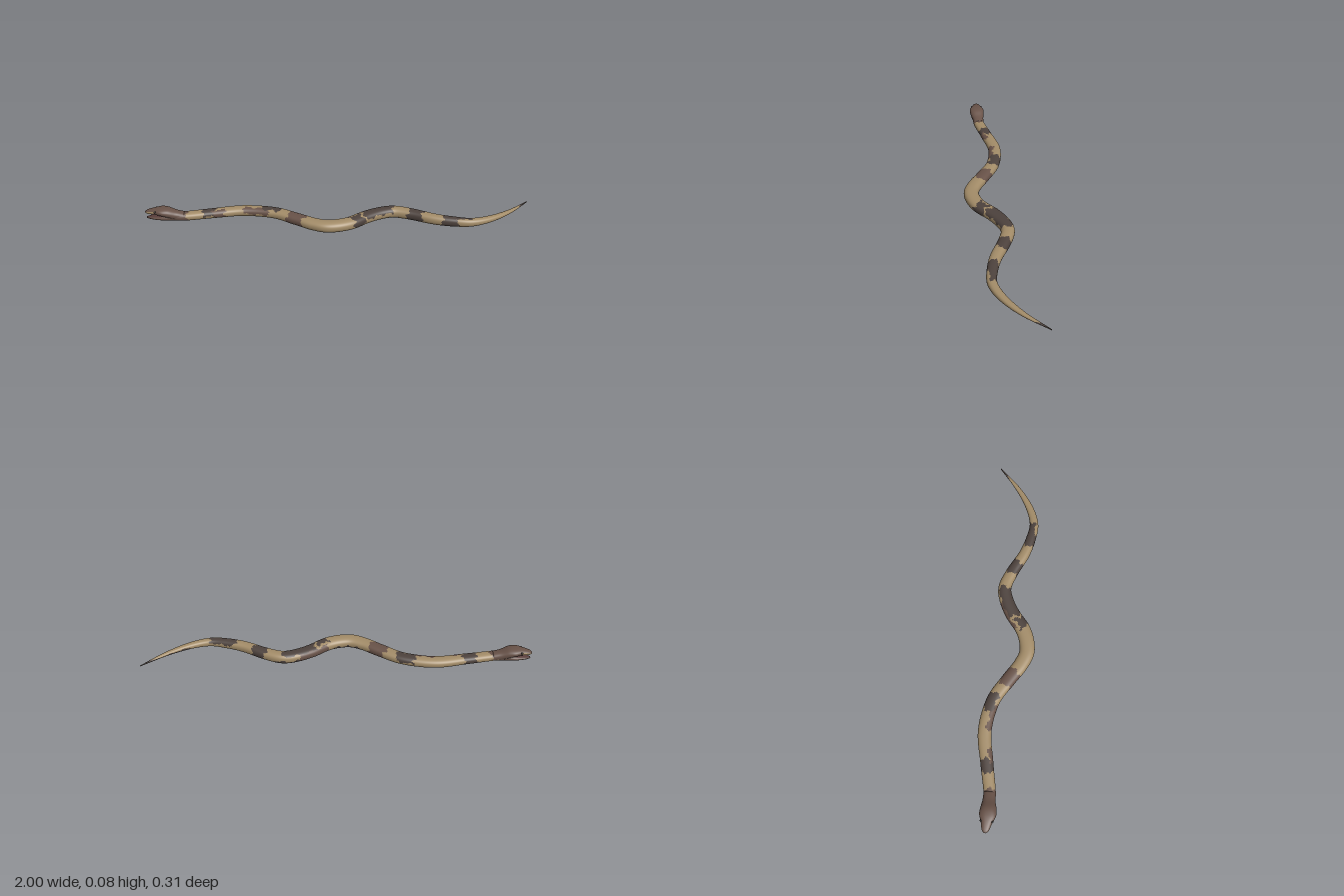
import * as THREE from 'three';

const mat = (name, color) => {
  const m = new THREE.MeshStandardMaterial({ color });
  m.name = name;
  return m;
};

// Smooth loft through sections [x, y, z, halfWidth, halfHeight];
// pick(x, angle) gives the material index of each face (angle 0 = front, 90 = top).
function loft(name, sections, rings, sides, materials, pick = () => 0) {
  const centres = new THREE.CatmullRomCurve3(
    sections.map(s => new THREE.Vector3(s[0], s[1], s[2])), false, 'catmullrom', 0.5);
  const sizes = new THREE.CatmullRomCurve3(
    sections.map(s => new THREE.Vector3(s[3], s[4], 0)), false, 'catmullrom', 0.5);
  const up = new THREE.Vector3(0, 1, 0);
  const pos = [], buckets = materials.map(() => []), xs = [];
  for (let i = 0; i <= rings; i++) {
    const t = i / rings, c = centres.getPoint(t), s = sizes.getPoint(t);
    const side = centres.getTangent(t).cross(up).normalize();
    xs.push(c.x);
    for (let j = 0; j < sides; j++) {
      const a = j / sides * Math.PI * 2, ca = Math.cos(a), sa = Math.sin(a);
      // Slightly squared oval
      const w = Math.sign(ca) * Math.abs(ca) ** 0.85 * s.x;
      const h = Math.sign(sa) * Math.abs(sa) ** 0.85 * s.y;
      pos.push(c.x + side.x * w, c.y + h, c.z + side.z * w);
    }
  }
  for (let i = 0; i < rings; i++) {
    for (let j = 0; j < sides; j++) {
      const k = (j + 1) % sides;
      const a = i * sides + j, b = a + sides, c = i * sides + k, d = c + sides;
      const m = pick((xs[i] + xs[i + 1]) / 2, (j + 0.5) / sides * 360);
      buckets[m].push(a, b, c, b, d, c);
    }
  }
  // End caps
  const last = rings * sides;
  const m0 = pick(xs[0], 90), m1 = pick(xs[rings], 90);
  for (let j = 1; j < sides - 1; j++) {
    buckets[m0].push(0, j, j + 1);
    buckets[m1].push(last, last + j + 1, last + j);
  }
  const geo = new THREE.BufferGeometry();
  geo.setAttribute('position', new THREE.Float32BufferAttribute(pos, 3));
  geo.setIndex(buckets.flat());
  let start = 0;
  buckets.forEach((b, i) => { geo.addGroup(start, b.length, i); start += b.length; });
  geo.computeVertexNormals();
  const mesh = new THREE.Mesh(geo, materials);
  mesh.name = name;
  return mesh;
}

export function createModel() {
  const group = new THREE.Group();
  group.name = 'snake';
  const tan = mat('tan scales', 0xa38c68);
  const brown = mat('brown scales', 0x685248);
  const dark = mat('dark scales', 0x4d423d);
  const mouth = mat('mouth lining', 0x5a3f3c);
  const black = mat('eye black', 0x17130f);

  // Body along its winding path
  const body = [
    [-0.86, 0.038, 0.022, 0.03, 0.022], [-0.8, 0.034, 0.02, 0.03, 0.021],
    [-0.66, 0.033, -0.012, 0.032, 0.022], [-0.5, 0.032, -0.044, 0.034, 0.024],
    [-0.34, 0.032, -0.022, 0.035, 0.025], [-0.22, 0.031, 0.042, 0.037, 0.026],
    [-0.13, 0.031, 0.095, 0.038, 0.027], [-0.05, 0.031, 0.117, 0.039, 0.028],
    [0.05, 0.031, 0.088, 0.039, 0.028], [0.14, 0.031, 0.018, 0.038, 0.028],
    [0.22, 0.031, -0.026, 0.036, 0.028], [0.29, 0.031, -0.04, 0.034, 0.028],
    [0.38, 0.031, -0.012, 0.032, 0.027], [0.49, 0.031, 0.038, 0.029, 0.026],
    [0.59, 0.031, 0.064, 0.026, 0.024], [0.68, 0.031, 0.07, 0.023, 0.02],
    [0.78, 0.031, 0.032, 0.019, 0.015], [0.89, 0.031, -0.045, 0.012, 0.009],
    [1.0, 0.033, -0.152, 0.002, 0.002],
  ];
  // Blotches: x range, centre angle, half angle, material index
  const blotches = [
    [-0.9, -0.83, 90, 180, 1], [-0.85, -0.79, 60, 130, 1],
    [-0.71, -0.645, 110, 115, 2], [-0.66, -0.6, 20, 50, 1], [-0.76, -0.68, 250, 60, 2],
    [-0.5, -0.36, 35, 42, 1], [-0.4, -0.31, 120, 60, 2],
    [-0.255, -0.175, 80, 130, 1], [-0.16, 0.03, 255, 62, 2],
    [0.06, 0.11, 45, 65, 2], [0.12, 0.28, 75, 62, 2], [0.07, 0.2, 180, 45, 1],
    [0.2, 0.31, 260, 70, 2],
    [0.365, 0.435, 90, 150, 2], [0.535, 0.61, 60, 110, 2], [0.6, 0.68, 120, 50, 2],
    [0.48, 0.78, 265, 48, 1], [0.78, 0.96, 240, 65, 2], [0.95, 1.1, 90, 180, 2],
  ];
  const bodyColour = (x, a) => {
    const r = a * Math.PI / 180;
    const wx = x + 0.007 * Math.sin(3 * r + 40 * x) + 0.004 * Math.sin(7 * r);
    const wa = a + 9 * Math.sin(95 * x) + 5 * Math.sin(210 * x);
    let m = 0;
    for (const [x0, x1, centre, half, index] of blotches) {
      const d = Math.abs(((wa - centre + 540) % 360) - 180);
      if (wx > x0 && wx < x1 && d <= half) m = index;
    }
    return m;
  };
  group.add(loft('body', body, 420, 40, [tan, brown, dark], bodyColour));

  // Head with a pale snout lip
  const head = [
    [-1.0, 0.061, 0.024, 0.006, 0.003], [-0.985, 0.062, 0.024, 0.018, 0.01],
    [-0.95, 0.066, 0.025, 0.028, 0.015], [-0.915, 0.066, 0.026, 0.041, 0.019],
    [-0.88, 0.058, 0.025, 0.039, 0.024], [-0.84, 0.043, 0.022, 0.031, 0.023],
    [-0.8, 0.035, 0.02, 0.029, 0.02],
  ];
  group.add(loft('upperHead', head, 40, 32, [brown, tan, mouth], (x, a) => {
    if (x < -0.915 && a > 215 && a < 325) return 2;
    return x < -0.95 && (a > 320 || a < 20 || (a > 160 && a < 220)) ? 1 : 0;
  }));

  // Lower jaw, dropped open
  const jaw = [
    [-0.995, 0.029, 0.024, 0.006, 0.003], [-0.97, 0.03, 0.024, 0.019, 0.007],
    [-0.93, 0.033, 0.025, 0.032, 0.011], [-0.89, 0.036, 0.025, 0.035, 0.017],
    [-0.85, 0.036, 0.022, 0.029, 0.02],
  ];
  group.add(loft('lowerJaw', jaw, 30, 28, [brown, mouth],
    (x, a) => (x < -0.91 && a > 40 && a < 140 ? 1 : 0)));

  // Eyes
  for (const s of [-1, 1]) {
    const eye = new THREE.Mesh(new THREE.SphereGeometry(0.006, 14, 10), black);
    eye.name = s > 0 ? 'frontEye' : 'backEye';
    eye.position.set(-0.945, 0.071, 0.025 + s * 0.027);
    group.add(eye);
  }
  return group;
}
